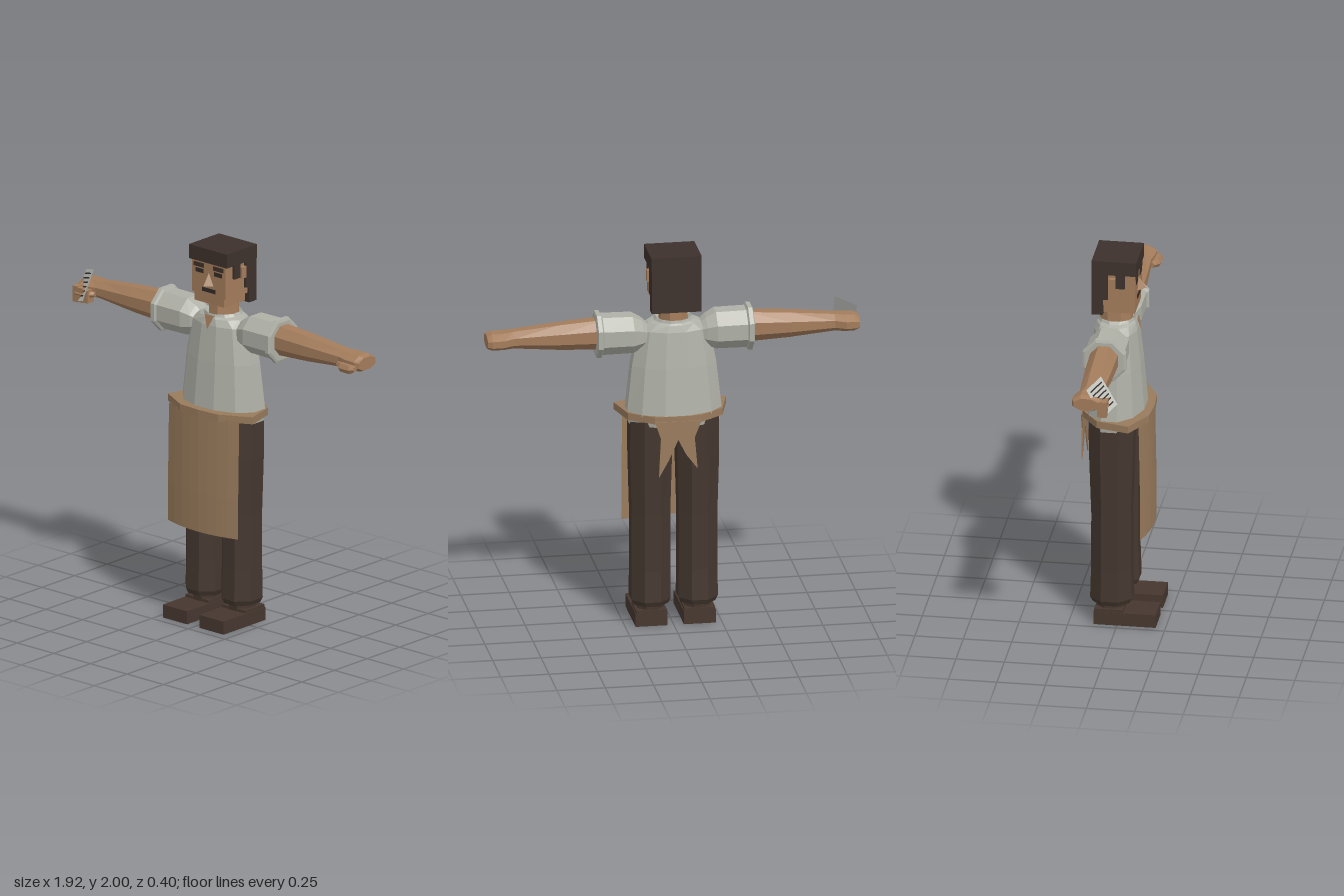
import * as THREE from 'three';
import { ConvexGeometry } from 'three/addons/geometries/ConvexGeometry.js';

const mat = (name, color, side = THREE.FrontSide) => {
  const m = new THREE.MeshStandardMaterial({ color, side, flatShading: true });
  m.name = name;
  return m;
};

// Joins cross-sections [t, c1, c2, r1, r2] along y, or along x in direction s.
function loft(rings, { n = 8, axis = 'y', s = 1 } = {}) {
  const pos = [], idx = [], grow = 1 / Math.cos(Math.PI / n);
  const put = (t, a, b) => (axis === 'y' ? pos.push(a, t, b) : pos.push(t * s, a, b));
  const flip = axis === 'y' ? false : s > 0;
  const tri = (a, b, c) => (flip ? idx.push(a, c, b) : idx.push(a, b, c));
  for (const [t, c1, c2, r1, r2] of rings) {
    for (let i = 0; i < n; i++) {
      const a = ((i + 0.5) / n) * Math.PI * 2;
      put(t, c1 + r1 * grow * Math.cos(a), c2 + r2 * grow * Math.sin(a));
    }
  }
  for (let k = 0; k < rings.length - 1; k++) {
    for (let i = 0; i < n; i++) {
      const a = k * n + i, b = k * n + ((i + 1) % n);
      tri(a, a + n, b);
      tri(b, a + n, b + n);
    }
  }
  const last = (rings.length - 1) * n;
  for (let i = 1; i < n - 1; i++) {
    tri(0, i, i + 1);
    tri(last, last + i + 1, last + i);
  }
  const g = new THREE.BufferGeometry();
  g.setAttribute('position', new THREE.Float32BufferAttribute(pos, 3));
  g.setIndex(idx);
  g.computeVertexNormals();
  return g;
}

// Box given by its lower and upper limits on each axis.
function span(x0, x1, y0, y1, z0, z1) {
  const g = new THREE.BoxGeometry(x1 - x0, y1 - y0, z1 - z0);
  return g.translate((x0 + x1) / 2, (y0 + y1) / 2, (z0 + z1) / 2);
}

function polygon(points) {
  const g = new THREE.BufferGeometry().setFromPoints(points);
  const idx = [];
  for (let i = 1; i < points.length - 1; i++) idx.push(0, i, i + 1);
  g.setIndex(idx);
  g.computeVertexNormals();
  return g;
}

export function createModel() {
  const skin = mat('skin', 0xa37c5b);
  const hair = mat('dark hair', 0x3d312c);
  const shirt = mat('grey shirt', 0xafb0a6);
  const apron = mat('tan apron', 0x997b5c, THREE.DoubleSide);
  const cloth = mat('dark trousers', 0x44372f);
  const leather = mat('dark leather', 0x46372f);
  const ink = mat('dark marks', 0x332a28);
  const pale = mat('pale plate', 0xc4c6c0, THREE.DoubleSide);

  const model = new THREE.Group();
  const body = new THREE.Group();
  body.name = 'body';
  body.position.x = -0.01;
  model.add(body);
  const add = (name, geo, m, parent = body) => {
    const mesh = new THREE.Mesh(geo, m);
    mesh.name = name;
    parent.add(mesh);
    return mesh;
  };
  const V = (x, y, z) => new THREE.Vector3(x, y, z);

  // Head and face
  add('head', span(-0.115, 0.115, 1.75, 1.94, -0.09, 0.08), skin);
  add('jaw', span(-0.1, 0.1, 1.705, 1.75, -0.09, 0.077), skin);
  add('neck', loft([[1.58, 0, -0.035, 0.075, 0.085], [1.72, 0, -0.035, 0.066, 0.08]]), skin);
  add('nose', new ConvexGeometry([V(0, 1.875, 0.078), V(-0.032, 1.805, 0.078), V(0.032, 1.805, 0.078), V(0, 1.81, 0.122)]), skin);
  add('mouth', span(-0.045, 0.045, 1.767, 1.788, 0.076, 0.084), ink);

  // Hair
  add('hairTop', span(-0.13, 0.13, 1.925, 2, -0.143, 0.088), hair);
  add('hairBack', span(-0.128, 0.128, 1.785, 1.926, -0.143, -0.06), hair);
  add('hairNape', span(-0.128, 0.128, 1.7, 1.786, -0.143, -0.085), hair);

  // Torso, collar opening and belt
  add('shirtBody', loft([
    [1.09, 0, -0.04, 0.235, 0.14], [1.15, 0, -0.035, 0.245, 0.155], [1.4, 0, -0.032, 0.218, 0.132],
    [1.59, 0, -0.03, 0.182, 0.11], [1.625, 0, -0.03, 0.13, 0.1], [1.635, 0, -0.03, 0.1, 0.095],
    [1.65, 0, -0.03, 0.09, 0.092], [1.635, 0, -0.03, 0.075, 0.08],
  ], { n: 12 }), shirt);
  add('neckOpening', polygon([V(-0.032, 1.645, 0.078), V(0, 1.57, 0.095), V(0.032, 1.645, 0.078)]), skin);

  const half = [[0, 0.165], [0.13, 0.155], [0.29, 0.07], [0.245, -0.1], [0.12, -0.19], [0, -0.198]];
  const outline = [...half, ...half.slice(1, -1).reverse().map(([x, z]) => [-x, z])];
  const beltShape = new THREE.Shape(outline.map(([x, z]) => new THREE.Vector2(x, -z)));
  const belt = new THREE.ExtrudeGeometry(beltShape, { depth: 0.038, bevelEnabled: false });
  add('apronBelt', belt.rotateX(-Math.PI / 2).translate(0, 1.118, 0), apron);

  // Apron sheet bowed around the front
  const sheet = new THREE.PlaneGeometry(0.48, 0.63, 8, 3).translate(0, 0.815, 0);
  const p = sheet.attributes.position;
  for (let i = 0; i < p.count; i++) {
    const u = p.getX(i) / 0.24;
    p.setZ(i, 0.165 - 0.04 * u * u - 0.008 * Math.max(0, (p.getY(i) - 0.7) / 0.43));
  }
  sheet.computeVertexNormals();
  add('apronSheet', sheet, apron);

  // Knotted tails behind
  const tails = new THREE.Shape([[-0.12, 1.13], [-0.085, 1.04], [-0.1, 0.87], [-0.04, 0.95], [0, 1.03],
    [0.05, 0.92], [0.1, 0.83], [0.09, 1.04], [0.12, 1.13]].map(([x, y]) => new THREE.Vector2(x, y)));
  add('apronTails', new THREE.ExtrudeGeometry(tails, { depth: 0.006, bevelEnabled: false }).translate(0, 0, -0.2), apron);

  for (const s of [1, -1]) {
    const side = s > 0 ? 'left' : 'right';
    const pair = (x0, x1, ...r) => span(Math.min(s * x0, s * x1), Math.max(s * x0, s * x1), ...r);

    // Features of each side of the head
    add(side + 'Brow', pair(0.033, 0.1, 1.893, 1.915, 0.076, 0.086), hair);
    add(side + 'Eye', pair(0.036, 0.09, 1.862, 1.884, 0.076, 0.083), ink);
    add(side + 'Ear', pair(0.11, 0.138, 1.845, 1.905, -0.055, -0.02), skin);
    add(side + 'Sideburn', pair(0.11, 0.128, 1.85, 1.926, -0.02, 0.027), hair);

    // Sleeve with a raised cuff
    add(side + 'Sleeve', loft([
      [0.13, 1.56, -0.035, 0.05, 0.06], [0.165, 1.565, -0.035, 0.075, 0.08], [0.215, 1.57, -0.037, 0.098, 0.1],
      [0.38, 1.57, -0.036, 0.1, 0.1],
    ], { axis: 'x', s }), shirt);
    add(side + 'Cuff', loft([
      [0.372, 1.57, -0.036, 0.1, 0.1], [0.38, 1.57, -0.036, 0.114, 0.112],
      [0.402, 1.57, -0.036, 0.114, 0.112], [0.407, 1.57, -0.036, 0.1, 0.1],
    ], { axis: 'x', s }), shirt);

    // Arm and hand
    const tip = s > 0 ? 0 : -0.015;
    add(side + 'Arm', loft([
      [0.37, 1.575, -0.036, 0.08, 0.072], [0.6, 1.573, -0.037, 0.066, 0.068], [0.83, 1.572, -0.038, 0.045, 0.058],
      [0.885, 1.57, -0.045, 0.044, 0.074], [0.945 + tip, 1.57, -0.045, 0.043, 0.076], [0.97 + tip, 1.57, -0.045, 0.033, 0.066],
    ], { axis: 'x', s }), skin);
    add(side + 'Thumb', loft([
      [0.83, 1.555, 0.015, 0.012, 0.02], [0.87, 1.55, 0.036, 0.022, 0.024],
      [0.935, 1.55, 0.04, 0.022, 0.022], [0.96 + tip, 1.555, 0.036, 0.012, 0.014],
    ], { n: 6, axis: 'x', s }), skin);

    // Leg, ankle and shoe
    const x = s * 0.122;
    add(side + 'Trouser', loft([
      [0.108, x, -0.037, 0.09, 0.095], [0.135, x, -0.037, 0.102, 0.108], [0.3, x, -0.037, 0.1, 0.103],
      [0.6, x, -0.037, 0.1, 0.102], [0.9, x, -0.037, 0.108, 0.112], [1.12, x, -0.037, 0.108, 0.117],
    ]), cloth);
    add(side + 'Ankle', loft([[0.07, x, -0.04, 0.068, 0.072], [0.115, x, -0.04, 0.068, 0.075]]), leather);
    add(side + 'Shoe', pair(0.042, 0.208, 0, 0.07, -0.12, 0.2), leather);
    add(side + 'Heel', pair(0.046, 0.204, 0.07, 0.085, -0.118, 0.03), leather);
  }

  // Curled fingers of the right hand
  for (let i = 0; i < 3; i++) {
    add('curledFinger', new THREE.BoxGeometry(0.034, 0.085 - i * 0.008, 0.05).translate(-0.935 + i * 0.034, 1.545, 0.035), skin);
  }

  // Slatted plate held in the right hand
  const plate = new THREE.Group();
  plate.name = 'heldPlate';
  model.add(plate);
  const origin = V(-0.96, 1.5, 0.04), across = V(0.105, 0.035, 0.06), up = V(0, 0.15, -0.085);
  const normal = across.clone().cross(up).normalize();
  const patch = (u0, u1, v0, v1, lift) => polygon([[u0, v0], [u1, v0], [u1, v1], [u0, v1]].map(([u, v]) =>
    origin.clone().addScaledVector(across, u).addScaledVector(up, v).addScaledVector(normal, lift)));
  add('plate', patch(0, 1, 0, 1, 0), pale, plate);
  for (let i = 0; i < 6; i++) {
    const v = 0.14 + i * 0.14;
    add('plateSlot', patch(0.12, 0.88, v, v + 0.045, 0.003), ink, plate);
  }
  return model;
}
